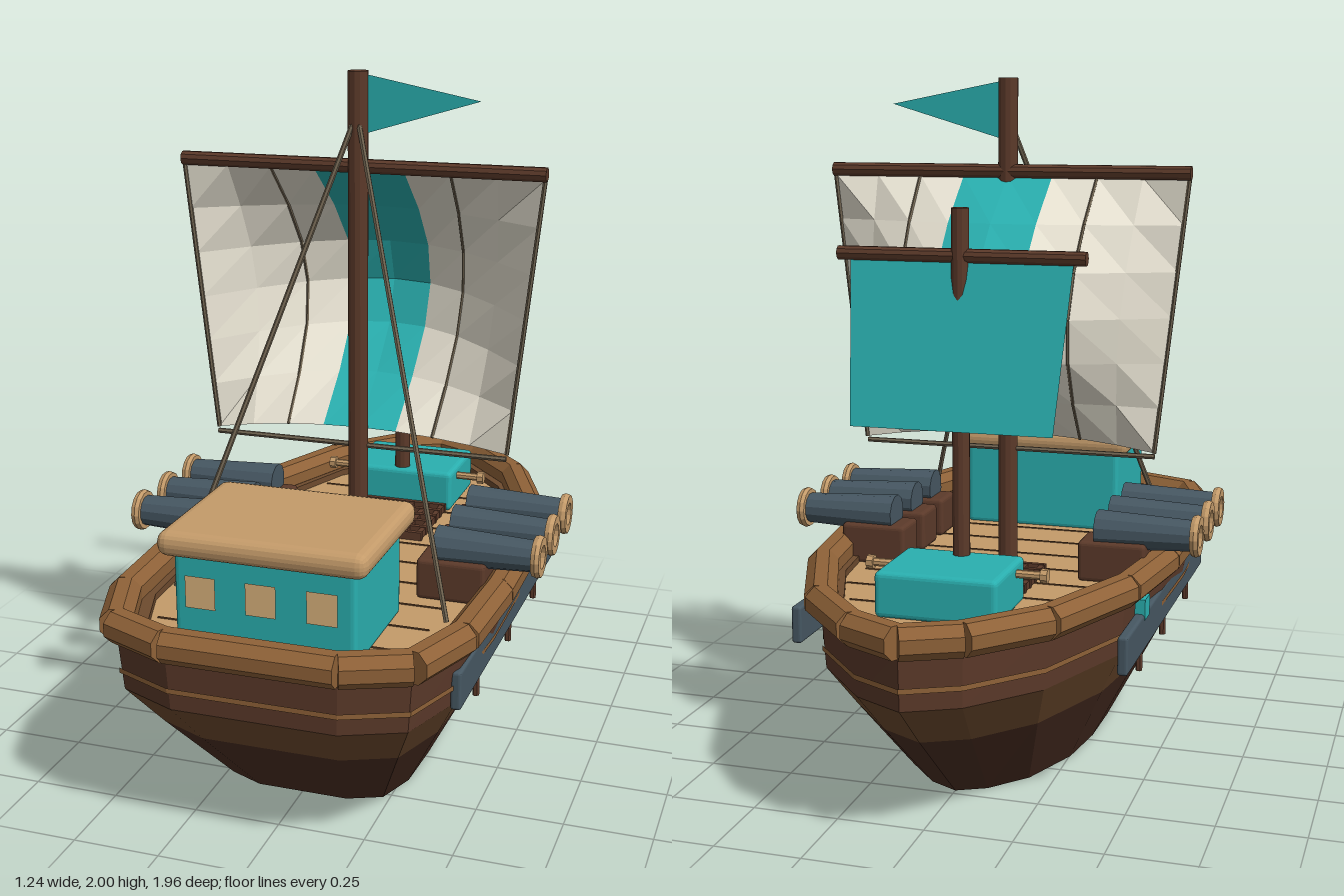
import * as THREE from 'three';
import { RoundedBoxGeometry } from 'three/addons/geometries/RoundedBoxGeometry.js';

const V = (x, y, z) => new THREE.Vector3(x, y, z);
const paint = (color, side = THREE.FrontSide) => new THREE.MeshStandardMaterial({ color, side, flatShading: true });

export function createModel() {
  const ship = new THREE.Group();
  const wood = paint(0x5c3a2a), plank = paint(0x6e4b2e), keel = paint(0x4a2e22), railWood = paint(0x8f6238);
  const tan = paint(0xc49b6a), teal = paint(0x2ab0b0), slate = paint(0x465762), rope = paint(0x6f6350);
  const cloth = paint(0xe8e3d3, THREE.DoubleSide), tealCloth = paint(0x2ab0b0, THREE.DoubleSide);
  const pane = paint(0xd9b27c, THREE.DoubleSide);

  const add = (name, geometry, material, x = 0, y = 0, z = 0) => {
    const mesh = new THREE.Mesh(geometry, material);
    mesh.name = name;
    mesh.position.set(x, y, z);
    ship.add(mesh);
    return mesh;
  };
  const box = (name, material, w, h, d, x, y, z, r = 0) => add(name,
    r ? new RoundedBoxGeometry(w, h, d, 2, r) : new THREE.BoxGeometry(w, h, d), material, x, y, z);
  // Round or faceted bar from a to b
  const bar = (name, material, a, b, r, sides = 10, rEnd = r) => {
    const g = new THREE.CylinderGeometry(rEnd, r, a.distanceTo(b), sides, 1, false, Math.PI / sides);
    g.rotateX(Math.PI / 2);
    const m = add(name, g, material);
    m.position.copy(a).add(b).multiplyScalar(0.5);
    m.lookAt(b);
    return m;
  };

  // Plan outline: stern, along the left side to the bow, then mirrored back
  const half = [[0.24, 0.935], [0.415, 0.86], [0.49, 0.65], [0.505, 0.33], [0.5, 0], [0.455, -0.33],
    [0.32, -0.67], [0.15, -0.86]];
  const outline = [...half, [0, -0.935], ...half.map(([x, z]) => [-x, z]).reverse()];
  const ring = (sx, sz, y, dz = 0) => outline.map(([x, z]) => V(x * sx, y, z * sz + dz));
  const loft = (lower, upper) => {
    const p = [];
    lower.forEach((a, i) => {
      const j = (i + 1) % lower.length;
      for (const v of [a, lower[j], upper[j], a, upper[j], upper[i]]) p.push(v.x, v.y, v.z);
    });
    const g = new THREE.BufferGeometry();
    g.setAttribute('position', new THREE.Float32BufferAttribute(p, 3));
    g.computeVertexNormals();
    return g;
  };
  const flat = (sx, sz, sign) => new THREE.Shape(outline.map(([x, z]) => new THREE.Vector2(x * sx, z * sz * sign)));

  // Hull strakes
  const bottom = ring(0.555, 0.555, 0, 0.04), low = ring(0.825, 0.845, 0.26, 0.014);
  const chine = ring(0.97, 0.99, 0.4), top = ring(1, 1, 0.56);
  add('lowerHull', loft(bottom, low), keel);
  add('middleHull', loft(low, chine), plank);
  add('upperHull', loft(chine, top), wood);
  add('hullBottom', new THREE.ShapeGeometry(flat(0.555, 0.555, 1)).rotateX(Math.PI / 2), keel, 0, 0, 0.04);
  add('hullStripe', loft(ring(0.992, 1, 0.45), ring(0.994, 1, 0.465)), railWood);

  // Deck, inner trim and plank seams
  add('deck', new THREE.ShapeGeometry(flat(0.99, 0.99, -1)).rotateX(-Math.PI / 2), tan, 0, 0.55, 0);
  const trim = flat(0.97, 0.97, -1);
  trim.holes.push(flat(0.87, 0.91, -1));
  add('innerTrim', new THREE.ExtrudeGeometry(trim, { depth: 0.02, bevelEnabled: false }).rotateX(-Math.PI / 2),
    plank, 0, 0.55, 0);
  for (let i = 0; i < 9; i++) {
    box('plankSeam', plank, i === 0 ? 0.6 : 0.74, 0.004, 0.006, 0, 0.551, -0.51 + i * 0.151);
  }

  // Faceted rail, one length per side of the outline
  const rail = ring(1, 1, 0.59);
  rail.forEach((a, i) => bar('rail', railWood, a, rail[(i + 1) % rail.length], 0.049, 8));

  // Cabin
  box('cabin', teal, 0.51, 0.27, 0.39, 0, 0.68, 0.635, 0.015);
  box('cabinRoof', tan, 0.585, 0.07, 0.46, 0, 0.838, 0.637, 0.03);
  for (const x of [-0.17, 0, 0.17]) add('window', new THREE.PlaneGeometry(0.085, 0.09), pane, x, 0.712, 0.853);

  // Main mast, yard, boom, pennant
  add('mainMast', new THREE.CylinderGeometry(0.03, 0.03, 1.46, 12), wood, 0, 1.27, 0.05);
  bar('mainYard', wood, V(-0.55, 1.73, 0.042), V(0.55, 1.73, 0.042), 0.021);
  bar('mainBoom', rope, V(-0.455, 0.893, 0.048), V(0.455, 0.893, 0.048), 0.008, 6);
  const pennant = new THREE.Shape([[0.025, 1.99], [0.025, 1.825], [0.36, 1.925]].map(p => new THREE.Vector2(...p)));
  add('pennant', new THREE.ShapeGeometry(pennant), tealCloth, 0, 0, 0.05);

  // Billowing main sail: u runs across (-1..1), v runs down (0..1)
  const sailPoint = (u, v) => V(u * (0.545 - 0.09 * v), 1.715 - 0.81 * v + 0.04 * v * (1 - u * u),
    0.042 - 0.35 * Math.sin(Math.PI * v) * Math.cos(u * Math.PI / 2));
  const sailPanel = (name, u0, u1, cols, material) => {
    const g = new THREE.PlaneGeometry(1, 1, cols, 6), p = g.attributes.position;
    for (let i = 0; i < p.count; i++) {
      const q = sailPoint(u0 + (u1 - u0) * (p.getX(i) + 0.5), 0.5 - p.getY(i));
      p.setXYZ(i, q.x, q.y, q.z);
    }
    g.computeVertexNormals();
    add(name, g, material);
  };
  sailPanel('sailRight', -1, -0.25, 3, cloth);
  sailPanel('sailStripe', -0.25, 0.25, 2, tealCloth);
  sailPanel('sailLeft', 0.25, 1, 3, cloth);

  // Mirrored rigging, side plates and guns
  for (const s of [-1, 1]) {
    for (let i = 0; i < 6; i++) {
      bar('sailSeam', rope, sailPoint(s * 0.5, i / 6), sailPoint(s * 0.5, (i + 1) / 6), 0.005, 5);
    }
    bar('sailEdgeRope', rope, sailPoint(s, 0), sailPoint(s, 1), 0.007, 6);
    bar('stay', rope, V(s * 0.01, 1.85, 0.07), V(s * 0.405, 0.56, 0.5), 0.008, 6);

    box('sidePlate', slate, 0.03, 0.11, 1.16, s * 0.481, 0.447, 0.1, 0.008);
    box('plateTab', teal, 0.03, 0.06, 0.065, s * 0.483, 0.515, -0.23);
    for (const z of [0.46, 0.08, -0.26]) bar('platePin', wood, V(s * 0.482, 0.335, z), V(s * 0.482, 0.4, z), 0.01, 6);

    for (const z of [0.28, 0.1, -0.085]) {
      const y = 0.695;
      box('gunCarriage', wood, 0.2, 0.12, 0.13, s * 0.37, 0.61, z, 0.012);
      bar('gunBarrel', slate, V(s * 0.315, y, z), V(s * 0.607, y, z), 0.058, 12, 0.045);
      const collar = [[0.034, -0.012], [0.058, -0.012], [0.062, 0], [0.058, 0.012], [0.034, 0.012], [0.034, -0.012]];
      add('muzzleRing', new THREE.LatheGeometry(collar.map(p => new THREE.Vector2(...p)), 14), tan, s * 0.61, y, z)
        .rotation.z = Math.PI / 2;
    }
  }

  // Fore mast with its slanted flat sail
  add('foreMast', new THREE.CylinderGeometry(0.025, 0.025, 1.11, 12), wood, 0, 1.095, -0.41);
  bar('foreYard', wood, V(-0.355, 1.52, -0.41), V(0.355, 1.52, -0.41), 0.02);
  const foreSail = new THREE.PlaneGeometry(1, 1), fp = foreSail.attributes.position;
  for (let i = 0; i < fp.count; i++) {
    const v = 0.5 - fp.getY(i);
    fp.setXYZ(i, fp.getX(i) * (0.64 - 0.06 * v), 1.515 - 0.465 * v, -0.41 - 0.1 * v);
  }
  foreSail.computeVertexNormals();
  add('foreSail', foreSail, tealCloth);

  // Fore deck locker with its cross bar
  box('locker', teal, 0.35, 0.13, 0.275, 0, 0.615, -0.51, 0.015);
  bar('lockerBar', tan, V(-0.26, 0.65, -0.455), V(0.26, 0.65, -0.455), 0.012, 8);
  for (const s of [-1, 1]) bar('lockerBarKnob', tan, V(s * 0.245, 0.65, -0.455), V(s * 0.265, 0.65, -0.455), 0.02, 8);

  // Grated hatch
  box('hatchBase', keel, 0.3, 0.01, 0.26, 0, 0.556, -0.23);
  for (let i = 0; i < 7; i++) box('hatchBar', wood, 0.016, 0.022, 0.28, -0.15 + i * 0.05, 0.564, -0.23);
  for (let i = 0; i < 6; i++) box('hatchCrossBar', wood, 0.32, 0.026, 0.016, 0, 0.564, -0.365 + i * 0.054);

  return ship;
}
